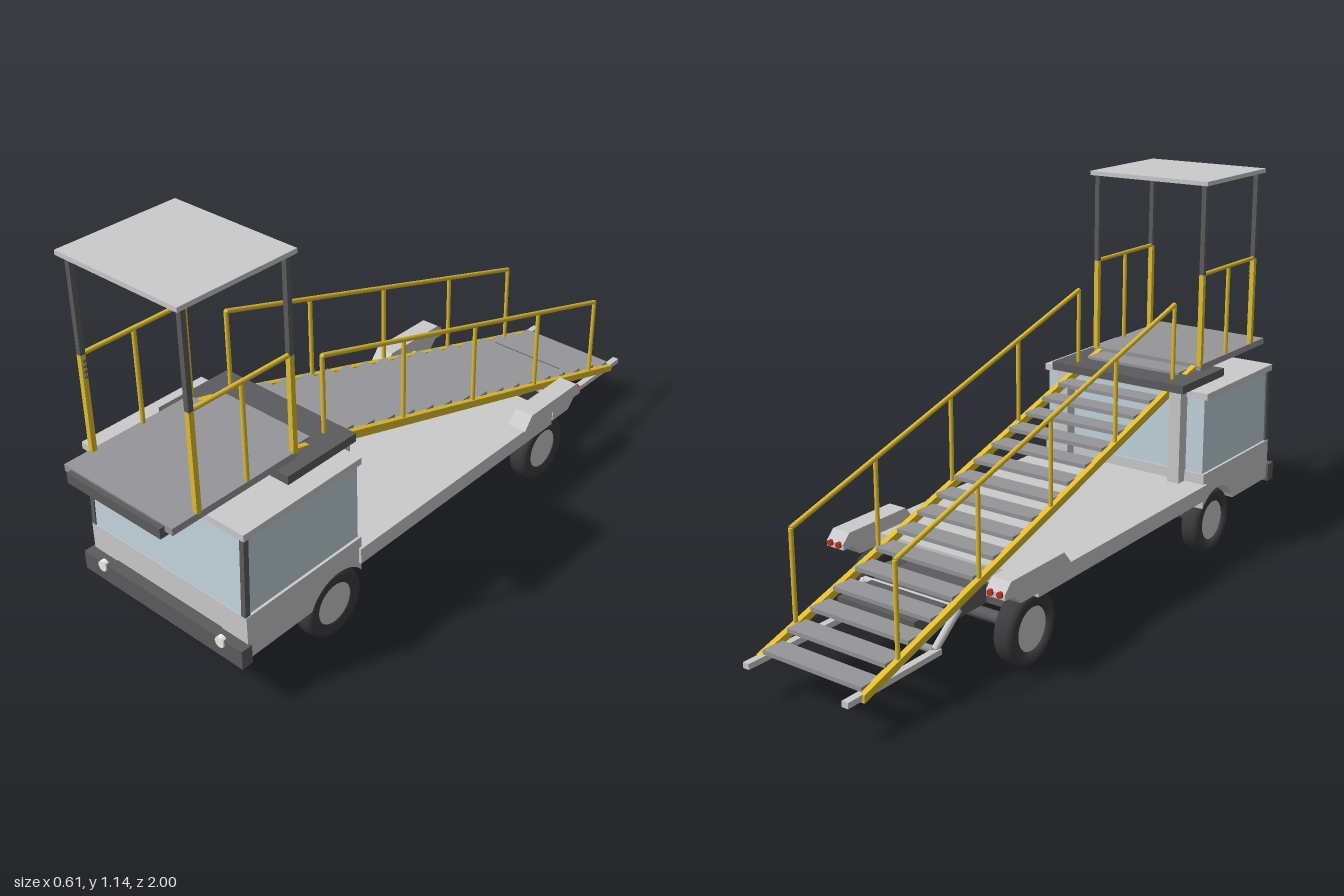
import * as THREE from 'three';

const mat = (color, extra = {}) => new THREE.MeshStandardMaterial({ color, ...extra });

export function createModel() {
  const root = new THREE.Group();
  const grey = mat(0xcccccc), mid = mat(0x96969a), dark = mat(0x5c5c5e), black = mat(0x3c3c3e);
  const yellow = mat(0xe2c030), glass = mat(0xc4d6de), red = mat(0xc03020), white = mat(0xf0f0ea);

  const add = (name, geometry, material, parent = root) => {
    const mesh = new THREE.Mesh(geometry, material);
    mesh.name = name;
    parent.add(mesh);
    return mesh;
  };
  // box given by its x, y and z ranges
  const box = (name, x0, x1, y0, y1, z0, z1, m) => {
    const b = add(name, new THREE.BoxGeometry(x1 - x0, y1 - y0, z1 - z0), m);
    b.position.set((x0 + x1) / 2, (y0 + y1) / 2, (z0 + z1) / 2);
    return b;
  };
  // round bar between two points
  const bar = (name, a, b, r, m) => {
    const p = new THREE.Vector3(...a), q = new THREE.Vector3(...b), d = q.clone().sub(p);
    const mesh = add(name, new THREE.CylinderGeometry(r, r, d.length(), 10), m);
    mesh.position.copy(p).add(q).multiplyScalar(0.5);
    mesh.quaternion.setFromUnitVectors(new THREE.Vector3(0, 1, 0), d.normalize());
    return mesh;
  };
  // side outline in (z, y), extruded across x
  const profile = (name, shape, x0, x1, m) => {
    const g = new THREE.ExtrudeGeometry(shape, { depth: x1 - x0, bevelEnabled: false, curveSegments: 20 });
    g.rotateY(-Math.PI / 2).translate(x1, 0, 0);
    return add(name, g, m);
  };
  const poly = pts => new THREE.Shape(pts.map(p => new THREE.Vector2(...p)));

  // chassis, bumper and deck
  box('chassis', -0.2, 0.2, 0.14, 0.2, -0.42, 0.86, dark);
  box('chassisTail', -0.13, 0.13, 0.14, 0.195, -0.71, -0.42, dark);
  box('bumper', -0.3, 0.3, 0.14, 0.197, 0.855, 0.89, dark);
  box('deck', -0.3, 0.3, 0.2, 0.248, -0.42, 0.45, grey);

  // cab body with wheel arch, glazing and roof
  const cab = new THREE.Shape();
  cab.moveTo(0.86, 0.28);
  cab.lineTo(0.44, 0.28);
  cab.lineTo(0.44, 0.17);
  cab.absarc(0.53, 0.103, 0.112, 2.5, 0.433, true);
  cab.lineTo(0.86, 0.15);
  profile('cabBody', cab, -0.292, 0.292, grey);
  profile('cabGlass', poly([[0.445, 0.28], [0.858, 0.28], [0.85, 0.518], [0.445, 0.518]]), -0.284, 0.284, glass);
  box('cabRoof', -0.296, 0.296, 0.515, 0.535, 0.44, 0.857, grey);

  // wheel parts, shared by all four wheels
  const tyreProfile = [[0.062, -0.026], [0.088, -0.031], [0.098, -0.026], [0.103, -0.014],
    [0.103, 0.014], [0.098, 0.026], [0.088, 0.031], [0.062, 0.026], [0.062, -0.026]];
  const tyre = new THREE.LatheGeometry(tyreProfile.map(p => new THREE.Vector2(...p)), 40).rotateZ(Math.PI / 2);
  const hub = new THREE.CylinderGeometry(0.063, 0.063, 0.046, 32).rotateZ(Math.PI / 2);
  for (const z of [0.53, -0.415]) {
    bar('axle', [-0.24, 0.103, z], [0.24, 0.103, z], 0.018, dark);
    for (const s of [-1, 1]) {
      const wheel = new THREE.Group();
      wheel.name = 'wheel';
      wheel.position.set(s * 0.251, 0.103, z);
      add('tyre', tyre, black, wheel);
      add('hub', hub, grey, wheel);
      root.add(wheel);
    }
  }

  // stair line: height of the stringer at z
  const stairY = z => 0.102 + (z + 0.95) * 0.309;

  for (const s of [-1, 1]) {
    const side = (a, b) => (s > 0 ? [a, b] : [-b, -a]);
    const x = s * 0.172, px = s * 0.19;

    // lamps, windscreen pillars and platform columns
    const lamp = bar('headlight', [s * 0.224, 0.187, 0.88], [s * 0.224, 0.187, 0.894], 0.016, white);
    lamp.geometry = new THREE.CylinderGeometry(0.016, 0.016, 0.014, 20);
    profile('windscreenPillar', poly([[0.845, 0.28], [0.861, 0.28], [0.852, 0.516], [0.836, 0.516]]),
      ...side(0.275, 0.29), dark);
    box('platformColumn', ...side(0.185, 0.225), 0.2, 0.545, 0.405, 0.45, grey);

    // rear mudguards with tail lamps
    profile('mudguard', poly([[-0.275, 0.246], [-0.31, 0.288], [-0.54, 0.288], [-0.565, 0.262],
      [-0.565, 0.245], [-0.53, 0.245], [-0.5, 0.215], [-0.42, 0.215], [-0.42, 0.246]]), ...side(0.243, 0.303), grey);
    for (const lx of [0.258, 0.288])
      bar('tailLamp', [s * lx, 0.258, -0.562], [s * lx, 0.258, -0.572], 0.009, red);

    // stair stringers and handrails
    profile('stringer', poly([[0.57, 0.575], [0.41, stairY(0.41) + 0.013], [-0.95, stairY(-0.95) + 0.013],
      [-0.95, stairY(-0.95) - 0.008], [0.41, stairY(0.41) - 0.012], [0.57, 0.553]]), ...side(0.163, 0.181), yellow);
    const railY = z => 0.79 + (z - 0.445) * 0.3;
    bar('handrail', [x, railY(0.445), 0.445], [x, railY(-0.82), -0.82], 0.007, yellow);
    for (let i = 0; i < 5; i++) {
      const z = 0.445 - i * 0.31625;
      bar('handrailPost', [x, stairY(z), z], [x, railY(z), z], 0.0065, yellow);
    }

    // rear foot bars and their braces
    box('footBar', ...side(0.155, 0.175), 0.1, 0.116, -1, -0.66, grey);
    bar('footBrace', [s * 0.16, 0.187, -0.575], [s * 0.16, 0.112, -0.67], 0.011, grey);

    // platform guard rails and canopy posts
    for (const z of [0.575, 0.9]) {
      box('platformPost', px - 0.0075, px + 0.0075, 0.575, 0.86, z - 0.0075, z + 0.0075, yellow);
      box('canopyPost', px - 0.0075, px + 0.0075, 0.86, 1.132, z - 0.0075, z + 0.0075, dark);
    }
    bar('platformMidPost', [px, 0.575, 0.737], [px, 0.86, 0.737], 0.0065, yellow);
    bar('platformRail', [px, 0.86, 0.575], [px, 0.86, 0.9], 0.0065, yellow);
  }

  // stair treads
  for (let i = 0; i < 17; i++) {
    const z = -0.91 + i * 0.0845, y = stairY(z) + 0.014;
    box('tread', -0.165, 0.165, y - 0.012, y, z - 0.033, z + 0.033, mid);
  }
  bar('footCrossbar', [-0.16, 0.112, -0.67], [0.16, 0.112, -0.67], 0.011, mid);
  bar('braceCrossbar', [-0.16, 0.187, -0.575], [0.16, 0.187, -0.575], 0.01, grey);

  // upper landing, boarding platform and canopy
  box('landing', -0.237, 0.237, 0.535, 0.56, 0.395, 0.645, dark);
  box('landingStep', -0.165, 0.165, 0.555, 0.568, 0.49, 0.58, mid);
  box('platform', -0.197, 0.197, 0.56, 0.58, 0.57, 0.985, mid);
  box('platformSlide', -0.17, 0.17, 0.545, 0.562, 0.78, 0.99, dark);
  box('platformLip', -0.17, 0.17, 0.545, 0.575, 0.984, 1, dark);
  box('canopy', -0.208, 0.208, 1.13, 1.143, 0.555, 0.925, grey);

  // control buttons on the right front post
  for (let i = 0; i < 4; i++) {
    const b = add('controlButton', new THREE.SphereGeometry(0.005, 10, 8), dark);
    b.position.set(-0.18, 0.8 + i * 0.015, 0.9);
  }
  return root;
}
